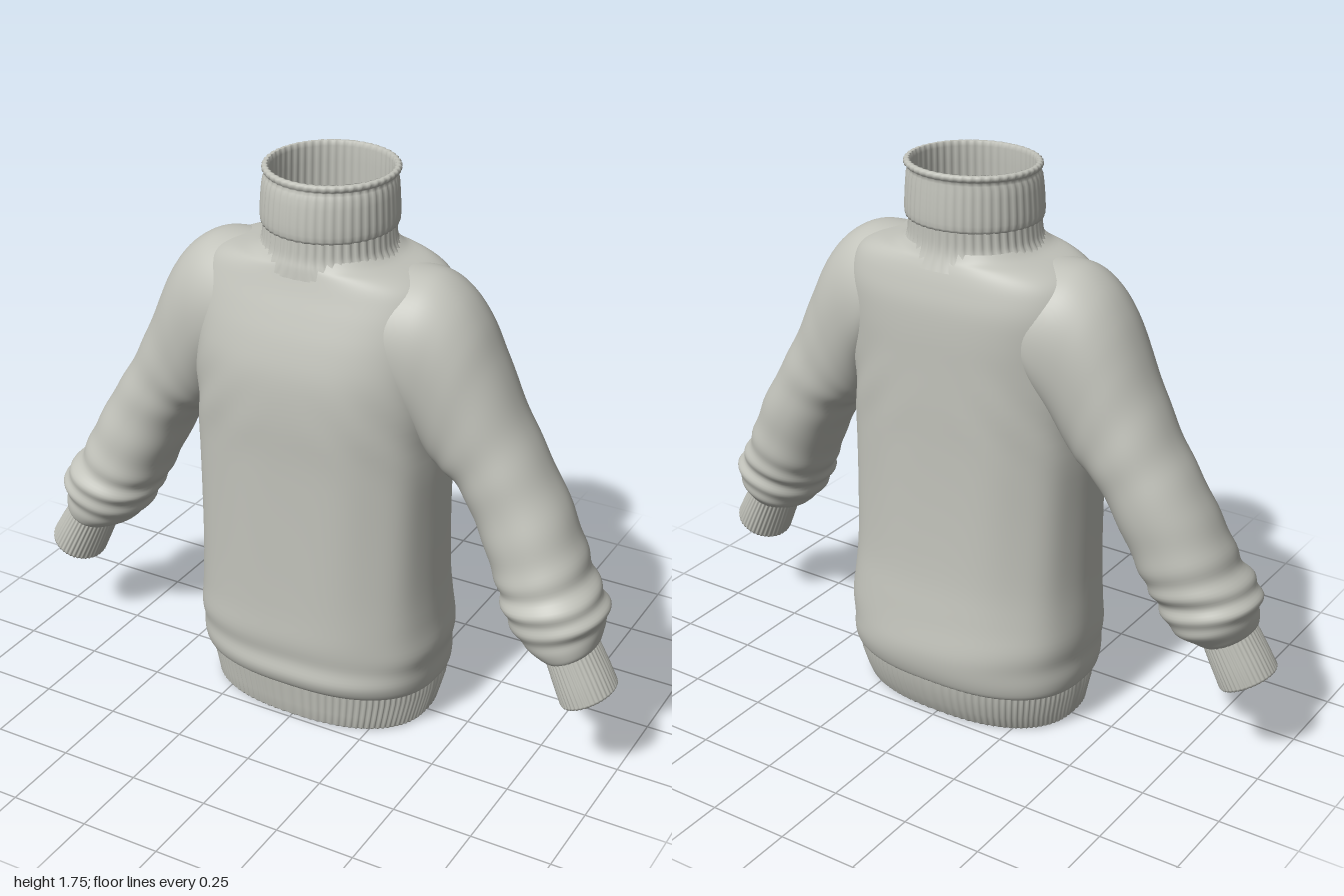
import * as THREE from 'three';

const wool = new THREE.MeshStandardMaterial({ color: 0xc2c3bb, side: THREE.DoubleSide });
wool.name = 'greyWool';

const catmull = (a, b, c, d, t) =>
  0.5 * (2 * b + (c - a) * t + (2 * a - 5 * b + 4 * c - d) * t * t + (3 * b - a - 3 * c + d) * t * t * t);
const bump = (v, centre, width) => Math.exp(-(((v - centre) / width) ** 2));

// Lofts a tube through rings [rightX, rightY, leftX, leftY, frontZ, backZ], listed upwards.
// squareness: 2 is an ellipse. swell(angle, t, p): relative change of radius. tilt: y per unit of -z.
function loft(name, keys, { sides = 96, steps = 4, squareness = 2, swell = () => 0, tilt = 0 } = {}) {
  const pos = [], index = [];
  const rows = (keys.length - 1) * steps;
  for (let r = 0; r <= rows; r++) {
    const k = Math.min(Math.floor(r / steps), keys.length - 2);
    const f = r / steps - k;
    const key = (i) => keys[Math.max(0, Math.min(keys.length - 1, i))];
    const [ox, oy, ix, iy, zf, zb] = key(k).map((_, c) =>
      steps === 1 ? (f ? key(k + 1)[c] : key(k)[c])
        : catmull(key(k - 1)[c], key(k)[c], key(k + 1)[c], key(k + 2)[c], f));
    const cx = (ox + ix) / 2, cy = (oy + iy) / 2, cz = (zf + zb) / 2;
    const round = (v) => Math.sign(v) * Math.abs(v) ** (2 / squareness);
    for (let s = 0; s < sides; s++) {
      const a = (s / sides) * Math.PI * 2;
      const m = 1 + swell(a, r / rows, cy);
      const u = round(Math.cos(a)) * m, w = round(Math.sin(a)) * m;
      const z = cz + w * (zf - zb) / 2;
      pos.push(cx + u * (ox - ix) / 2, cy + u * (oy - iy) / 2 - z * tilt, z);
      if (r < rows) {
        const p = r * sides + s, q = r * sides + (s + 1) % sides;
        index.push(p, p + sides, q, q, p + sides, q + sides);
      }
    }
  }
  const g = new THREE.BufferGeometry();
  g.setAttribute('position', new THREE.Float32BufferAttribute(pos, 3));
  g.setIndex(index);
  g.computeVertexNormals();
  const mesh = new THREE.Mesh(g, wool);
  mesh.name = name;
  return mesh;
}

const level = ([y, hx, zf, zb]) => [hx, y, -hx, y, zf, zb];
const mirror = ([ox, oy, ix, iy, zf, zb]) => [-ix, iy, -ox, oy, zf, zb];
const ribs = (count, depth) => (a) => depth * Math.cos(a * count);

export function createModel() {
  const sweater = new THREE.Group();
  sweater.name = 'sweater';

  // Torso, blousing over the hem and closing in to the neck
  const torso = [
    [0.125, 0.375, 0.25, -0.26], [0.14, 0.395, 0.275, -0.275], [0.18, 0.402, 0.29, -0.287],
    [0.23, 0.402, 0.285, -0.29], [0.29, 0.41, 0.29, -0.285], [0.38, 0.403, 0.287, -0.272],
    [0.5, 0.396, 0.285, -0.258], [0.7, 0.395, 0.284, -0.25], [0.9, 0.397, 0.285, -0.248],
    [1.05, 0.395, 0.29, -0.25], [1.18, 0.395, 0.284, -0.25], [1.28, 0.4, 0.262, -0.25],
    [1.36, 0.4, 0.235, -0.245], [1.42, 0.385, 0.212, -0.232], [1.46, 0.355, 0.198, -0.22],
    [1.485, 0.3, 0.19, -0.21], [1.5, 0.225, 0.185, -0.203], [1.52, 0.19, 0.175, -0.195],
  ].map(level);
  sweater.add(loft('torso', torso, {
    sides: 128, squareness: 2.5,
    swell: (a, t, y) => 0.008 * Math.sin(a * 3 + y * 26) * bump(y, 0.24, 0.09)
      + 0.006 * Math.cos(a * 10 + 0.6) * bump(y, 0.7, 0.4)
      + 0.012 * Math.sin(y * 30 + Math.abs(Math.cos(a)) * 14) * bump(y, 1.05, 0.12) * Math.abs(Math.cos(a)),
  }));

  // Ribbed hem, with its inner face
  const hem = [
    [0.12, 0.372, 0.24, -0.25], [0.008, 0.345, 0.225, -0.215], [0, 0.354, 0.233, -0.224],
    [0.008, 0.362, 0.24, -0.232], [0.05, 0.372, 0.245, -0.25], [0.1, 0.384, 0.252, -0.265],
    [0.135, 0.388, 0.256, -0.27],
  ].map(level);
  sweater.add(loft('hem', hem, { sides: 400, steps: 1, squareness: 2.4, swell: ribs(100, 0.008) }));

  // Ribbed neck flaring on to the shoulders
  const neck = [
    [1.465, 0.27, 0.2, -0.222], [1.495, 0.222, 0.195, -0.21], [1.52, 0.2, 0.188, -0.203],
    [1.55, 0.193, 0.184, -0.2], [1.6, 0.19, 0.18, -0.2],
  ].map(level);
  sweater.add(loft('neck', neck, { sides: 192, swell: (a, t) => 0.016 * Math.cos(a * 48) * Math.min(1, t + 0.3) }));

  // Folded collar: outer fold, rolled rim and inner wall
  const collar = [
    [1.58, 0.188, 0.178, -0.198], [1.578, 0.198, 0.186, -0.208], [1.6, 0.202, 0.19, -0.211],
    [1.65, 0.2, 0.187, -0.209], [1.7, 0.196, 0.18, -0.205], [1.722, 0.189, 0.171, -0.203],
    [1.73, 0.199, 0.176, -0.212], [1.742, 0.199, 0.176, -0.212], [1.745, 0.188, 0.166, -0.202],
    [1.73, 0.18, 0.159, -0.194], [1.62, 0.181, 0.163, -0.193], [1.5, 0.185, 0.17, -0.195],
  ].map(level);
  sweater.add(loft('collar', collar, { sides: 192, steps: 2, swell: ribs(48, 0.01), tilt: 0.025 }));

  // Sleeve from the wrist up over the shoulder
  const sleeve = [
    [0.915, 0.44, 0.79, 0.39, 0.155, -0.035], [0.93, 0.462, 0.755, 0.4, 0.168, -0.055],
    [0.932, 0.51, 0.7, 0.43, 0.178, -0.095], [0.94, 0.555, 0.66, 0.475, 0.188, -0.108],
    [0.915, 0.6, 0.632, 0.525, 0.19, -0.112], [0.875, 0.655, 0.61, 0.57, 0.172, -0.125],
    [0.84, 0.73, 0.58, 0.63, 0.162, -0.133], [0.79, 0.83, 0.535, 0.725, 0.15, -0.143],
    [0.73, 0.93, 0.49, 0.81, 0.143, -0.15], [0.67, 1.03, 0.45, 0.868, 0.145, -0.155],
    [0.61, 1.145, 0.41, 0.895, 0.152, -0.16], [0.555, 1.265, 0.385, 0.915, 0.162, -0.165],
    [0.505, 1.365, 0.365, 0.94, 0.172, -0.172], [0.445, 1.44, 0.35, 0.97, 0.182, -0.18],
    [0.37, 1.485, 0.335, 1.01, 0.193, -0.19], [0.28, 1.492, 0.315, 1.06, 0.2, -0.2],
    [0.21, 1.485, 0.3, 1.1, 0.2, -0.2],
  ];
  const folds = (a, t) => 0.035 * Math.sin(t * 75 + 0.8 * Math.sin(a)) * bump(t, 0.25, 0.14)
    + 0.012 * Math.sin(t * 60 + a) * bump(t, 0.55, 0.12);

  // Ribbed cuff, from its inner wall round the rim and up
  const cuff = [
    [0.905, 0.44, 0.8, 0.39, 0.145, -0.025], [0.983, 0.325, 0.852, 0.259, 0.152, -0.016],
    [0.993, 0.325, 0.845, 0.251, 0.162, -0.025], [0.995, 0.335, 0.838, 0.257, 0.166, -0.03],
    [0.96, 0.395, 0.81, 0.322, 0.163, -0.035], [0.922, 0.455, 0.782, 0.39, 0.158, -0.038],
  ];
  for (const [side, place] of [['left', (k) => k], ['right', mirror]]) {
    sweater.add(loft(side + 'Sleeve', sleeve.map(place), { sides: 72, steps: 6, squareness: 2.15, swell: folds }));
    sweater.add(loft(side + 'Cuff', cuff.map(place), { sides: 160, steps: 1, swell: ribs(40, 0.02) }));
  }
  return sweater;
}
